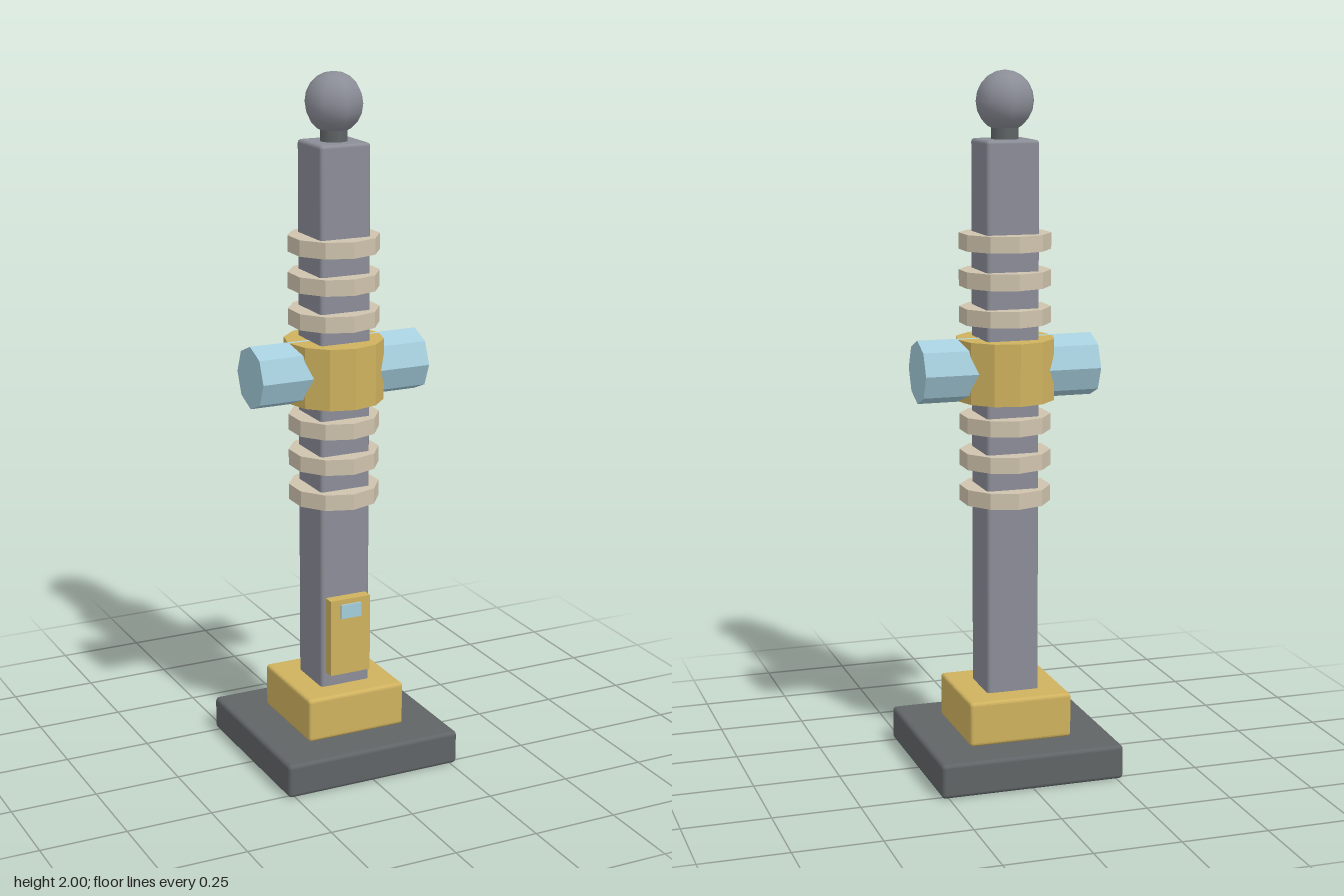
import * as THREE from 'three';
import { RoundedBoxGeometry } from 'three/addons/geometries/RoundedBoxGeometry.js';

export function createModel() {
  const group = new THREE.Group();

  const material = (name, color, flatShading = false) => {
    const m = new THREE.MeshStandardMaterial({ color, flatShading });
    m.name = name;
    return m;
  };
  const charcoal = material('charcoal', 0x606466);
  const steel = material('steel grey', 0x8b8d97);
  const gold = material('gold', 0xcfb25f, true);
  const cream = material('cream', 0xcfc3ad, true);
  const blue = material('pale blue', 0xa4cddc, true);

  const add = (name, geometry, mat, x, y, z) => {
    const mesh = new THREE.Mesh(geometry, mat);
    mesh.name = name;
    mesh.position.set(x, y, z);
    group.add(mesh);
    return mesh;
  };

  // Stepped foot
  add('base', new RoundedBoxGeometry(0.54, 0.1, 0.54, 2, 0.012), charcoal, 0, 0.05, 0);
  add('plinth', new RoundedBoxGeometry(0.304, 0.13, 0.304, 2, 0.01), gold, 0, 0.165, 0);

  // Square column with ball finial
  add('column', new RoundedBoxGeometry(0.154, 1.61, 0.154, 2, 0.01), steel, 0, 1.005, 0);
  add('neck', new THREE.CylinderGeometry(0.04, 0.04, 0.06, 8), charcoal, 0, 1.825, 0);
  add('finial', new THREE.SphereGeometry(0.085, 8, 10), steel, 0, 1.915, 0);

  // Ten-sided insulator rings, three above and three below the hub
  const ringGeometry = new THREE.CylinderGeometry(0.13, 0.13, 0.046, 10);
  for (const y of [0.803, 0.907, 1.011, 1.319, 1.423, 1.527]) {
    add('ring', ringGeometry, cream, 0, y, 0);
  }

  // Hub with octagonal crossbar through it
  add('hub', new THREE.CylinderGeometry(0.142, 0.142, 0.176, 12), gold, 0, 1.165, 0);
  const bar = add('crossbar', new THREE.CylinderGeometry(0.09, 0.09, 0.516, 8), blue, 0, 1.165, 0);
  bar.rotation.z = Math.PI / 2;

  // Control box on the front
  add('controlBox', new THREE.BoxGeometry(0.126, 0.23, 0.036), gold, 0, 0.39, 0.092);
  add('display', new THREE.BoxGeometry(0.064, 0.042, 0.008), blue, 0, 0.469, 0.112);

  return group;
}
